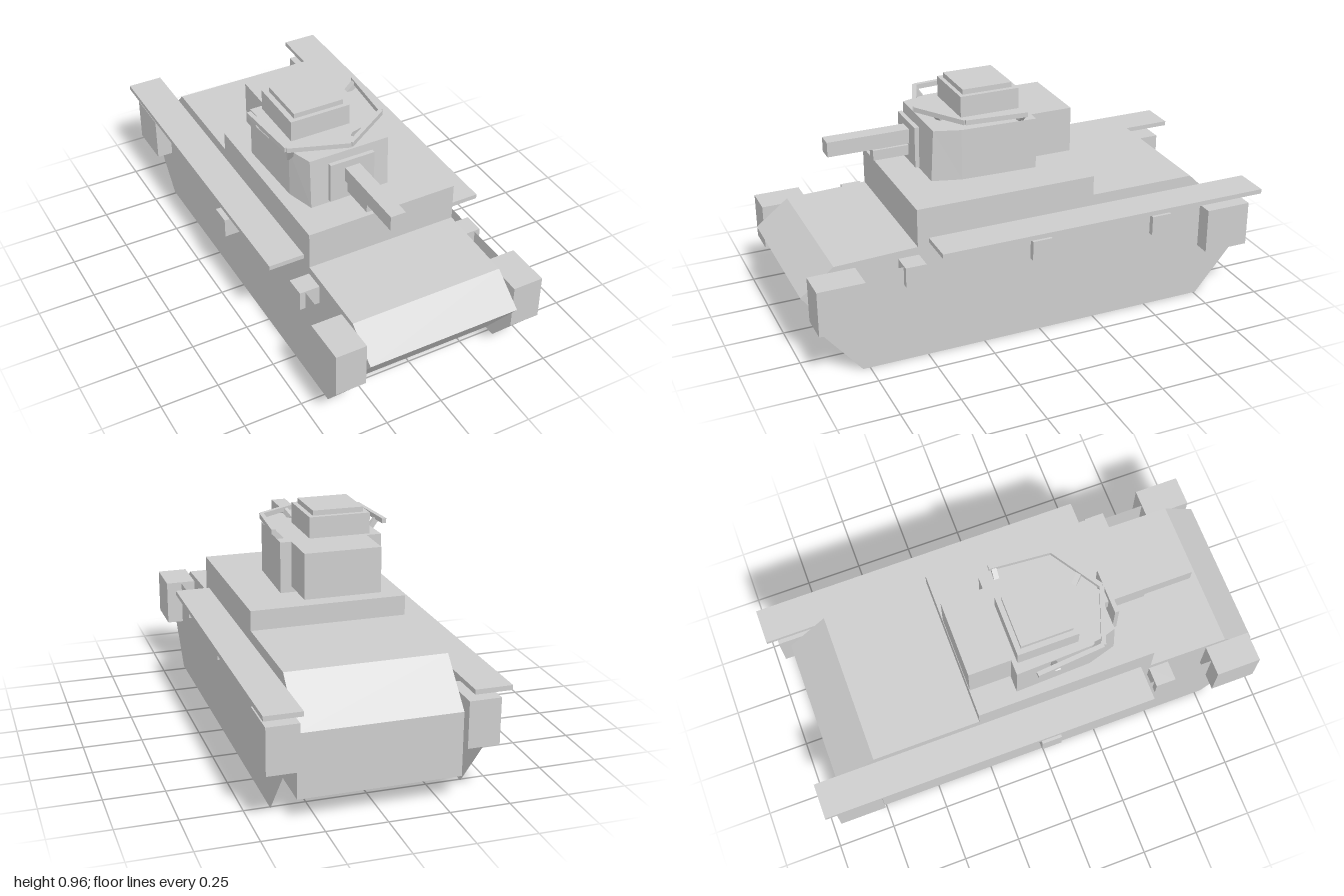
import * as THREE from 'three';

const grey = new THREE.MeshStandardMaterial({ color: 0xcccccc });
grey.name = 'plain grey';
const greySheet = new THREE.MeshStandardMaterial({ color: 0xcccccc, side: THREE.DoubleSide });
greySheet.name = 'plain grey sheet';

export function createModel() {
  const model = new THREE.Group();
  model.name = 'tank';

  const add = (name, geometry, material = grey) => {
    const mesh = new THREE.Mesh(geometry, material);
    mesh.name = name;
    model.add(mesh);
    return mesh;
  };

  // Box given by its extents along each axis
  const box = (name, [x0, x1], [y0, y1], [z0, z1]) => {
    const mesh = add(name, new THREE.BoxGeometry(Math.abs(x1 - x0), y1 - y0, z1 - z0));
    mesh.position.set((x0 + x1) / 2, (y0 + y1) / 2, (z0 + z1) / 2);
    return mesh;
  };

  // Square bar between two points, keeping its sides upright
  const bar = (name, a, b, width, height) => {
    const from = new THREE.Vector3(...a), to = new THREE.Vector3(...b);
    const mesh = add(name, new THREE.BoxGeometry(width, height, from.distanceTo(to)));
    mesh.position.copy(from).add(to).multiplyScalar(0.5);
    mesh.lookAt(to);
    return mesh;
  };

  const shapeOf = (points) => new THREE.Shape(points.map(([a, b]) => new THREE.Vector2(a, b)));

  // Hull: side profile (z, y) extruded across the width
  const halfWidth = 0.333;
  const hull = new THREE.ExtrudeGeometry(shapeOf([
    [0.815, 0.1], [1, 0.345], [0.86, 0.453], [0.51, 0.466], [0.51, 0.63], [-0.27, 0.63],
    [-0.27, 0.545], [-0.735, 0.545], [-0.91, 0.37], [-0.91, 0.1],
  ]), { depth: halfWidth * 2, bevelEnabled: false });
  hull.rotateY(-Math.PI / 2).translate(halfWidth, 0, 0);
  add('hull', hull);

  // Track skirts stand clear of the hull; shelves, corner boxes and brackets on both sides
  const skirtX = 0.395;
  const skirt = shapeOf([
    [0.78, 0], [0.97, 0.235], [0.97, 0.425], [-0.955, 0.425], [-0.955, 0.235], [-0.76, 0],
  ]);
  for (const side of [1, -1]) {
    const x = halfWidth * side;
    const sheet = new THREE.ShapeGeometry(skirt).rotateY(-Math.PI / 2);
    sheet.translate(skirtX * side, 0, 0);
    add('trackSkirt', sheet, greySheet);
    box('fenderShelf', [x, 0.486 * side], [0.477, 0.497], [-1, 0.462]);
    box('frontCornerBox', [x, 0.465 * side], [0.235, 0.431], [0.773, 0.97]);
    box('rearCornerBox', [x, 0.465 * side], [0.235, 0.431], [-0.955, -0.755]);
    for (const z of [0.55, 0, -0.555]) {
      const reach = side < 0 && z === 0 ? 0.487 : 0.42;
      box('sideBracket', [x, reach * side], [0.345, 0.431], [z - 0.044, z + 0.044]);
    }
  }

  // Turret: plan outline (x, -z) extruded upward, its front face leaning back slightly
  const turret = new THREE.ExtrudeGeometry(shapeOf([
    [-0.245, -0.362], [0.108, -0.362], [0.143, -0.24], [0.154, 0.088], [-0.29, 0.088], [-0.28, -0.24],
  ]), { depth: 0.22, bevelEnabled: false });
  turret.rotateX(-Math.PI / 2).translate(0, 0.63, 0);
  const corners = turret.attributes.position;
  for (let i = 0; i < corners.count; i++) {
    if (corners.getZ(i) > 0.3 && corners.getY(i) > 0.8) corners.setZ(i, 0.35);
  }
  turret.computeVertexNormals();
  add('turret', turret);
  box('turretBustle', [-0.225, 0.105], [0.655, 0.85], [-0.27, -0.085]);

  // Cupola and hatch
  box('cupola', [-0.245, 0.02], [0.85, 0.941], [-0.068, 0.193]);
  box('hatch', [-0.222, -0.001], [0.941, 0.963], [-0.046, 0.175]);

  // Gun, mantlet and coaxial gun
  box('mantlet', [-0.178, 0.02], [0.661, 0.838], [0.38, 0.398]);
  box('gunBarrel', [-0.113, -0.047], [0.743, 0.807], [0.35, 0.75]);
  box('coaxialGun', [-0.102, -0.058], [0.688, 0.732], [0.35, 0.553]);
  box('coaxialMount', [-0.09, -0.069], [0.73, 0.745], [0.465, 0.53]);

  // Rail around the turret front
  const rail = [[-0.33, -0.015], [-0.307, 0.275], [-0.068, 0.362], [0.147, 0.225], [0.168, -0.04]];
  for (let i = 0; i < rail.length - 1; i++) {
    const [x0, z0] = rail[i], [x1, z1] = rail[i + 1];
    bar('turretRail', [x0, 0.884, z0], [x1, 0.884, z1], 0.019, 0.021);
  }

  // Struts carrying the rail
  const struts = [
    [[-0.328, 0.88, 0.07], [-0.28, 0.815, 0.07]],
    [[-0.29, 0.88, 0.28], [-0.275, 0.81, 0.235]],
    [[0.02, 0.88, 0.3], [-0.005, 0.845, 0.27]],
    [[0.165, 0.88, -0.02], [0.13, 0.845, -0.02]],
  ];
  for (const [a, b] of struts) bar('railStrut', a, b, 0.022, 0.022);

  return model;
}
